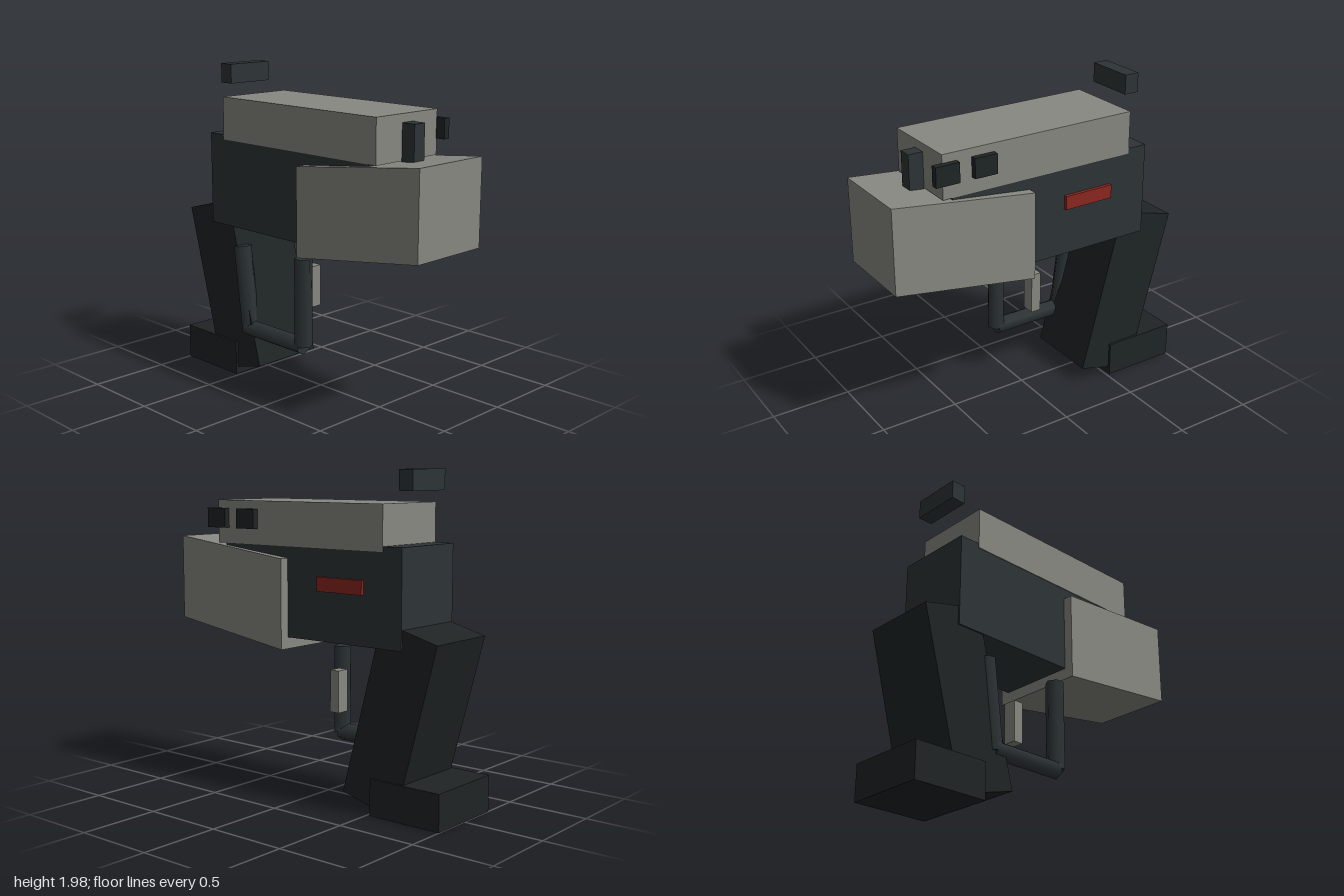
import * as THREE from 'three';

const mat = (color) => new THREE.MeshStandardMaterial({ color });

export function createModel() {
  const model = new THREE.Group();
  const grey = mat(0x888882);
  const steel = mat(0x2d3436);
  const black = mat(0x1f2425);
  const red = mat(0x8b2620);

  const add = (name, geometry, material) => {
    const mesh = new THREE.Mesh(geometry, material);
    mesh.name = name;
    model.add(mesh);
    return mesh;
  };
  // Box given by its [min, max] range on each axis
  const block = (name, material, x, y, z) => {
    const mesh = add(name, new THREE.BoxGeometry(x[1] - x[0], y[1] - y[0], z[1] - z[0]), material);
    mesh.position.set((x[0] + x[1]) / 2, (y[0] + y[1]) / 2, (z[0] + z[1]) / 2);
    return mesh;
  };
  // Six-sided bar lying in the plane of the guard
  const bar = (name, length, y, z, tilt) => {
    const mesh = add(name, new THREE.CylinderGeometry(0.056, 0.056, length, 6), steel);
    mesh.position.set(-0.208, y, z);
    mesh.rotation.x = tilt;
  };

  // Body and upper slide
  block('receiver', steel, [-0.25, 0.25], [0.98, 1.555], [-0.73, 0.62]);
  block('slide', grey, [-0.255, 0.255], [1.525, 1.79], [-0.6, 0.68]);

  // Tapered, sloping front shroud
  const shroud = new THREE.BoxGeometry(2, 1, 1);
  const p = shroud.attributes.position;
  for (let i = 0; i < p.count; i++) {
    const front = p.getZ(i) > 0;
    const top = p.getY(i) > 0;
    const y = front ? (top ? 1.555 : 1.03) : (top ? 1.455 : 0.91);
    p.setXYZ(i, p.getX(i) * (front ? 0.265 : 0.31), y, front ? 1 : 0.11);
  }
  shroud.computeVertexNormals();
  add('frontShroud', shroud, grey);

  // Sights
  block('frontSight', steel, [-0.043, 0.043], [1.52, 1.74], [0.68, 0.77]);
  block('rearSight', steel, [-0.156, 0.156], [1.86, 1.98], [-0.73, -0.635]);

  // Side details
  for (const z of [[0.59, 0.74], [0.35, 0.495]]) {
    block('sideButton', black, [0.25, 0.292], [1.62, 1.74], z);
  }
  block('sideStripe', red, [0.245, 0.272], [1.275, 1.36], [-0.465, -0.135]);

  // Raked grip and its foot
  const grip = add('grip', new THREE.BoxGeometry(0.48, 1.068, 0.392), black);
  grip.position.set(0, 0.57, -0.637);
  grip.rotation.x = -0.26;
  block('gripFoot', black, [-0.255, 0.255], [0, 0.22], [-1, -0.52]);

  // Trigger and guard
  block('trigger', grey, [-0.043, 0.043], [0.51, 0.77], [-0.112, -0.047]);
  bar('guardFront', 0.55, 0.605, 0.06, 0);
  bar('guardBottom', 0.5, 0.328, -0.187, Math.PI / 2);
  bar('guardBack', 0.55, 0.585, -0.458, -0.125);

  return model;
}
